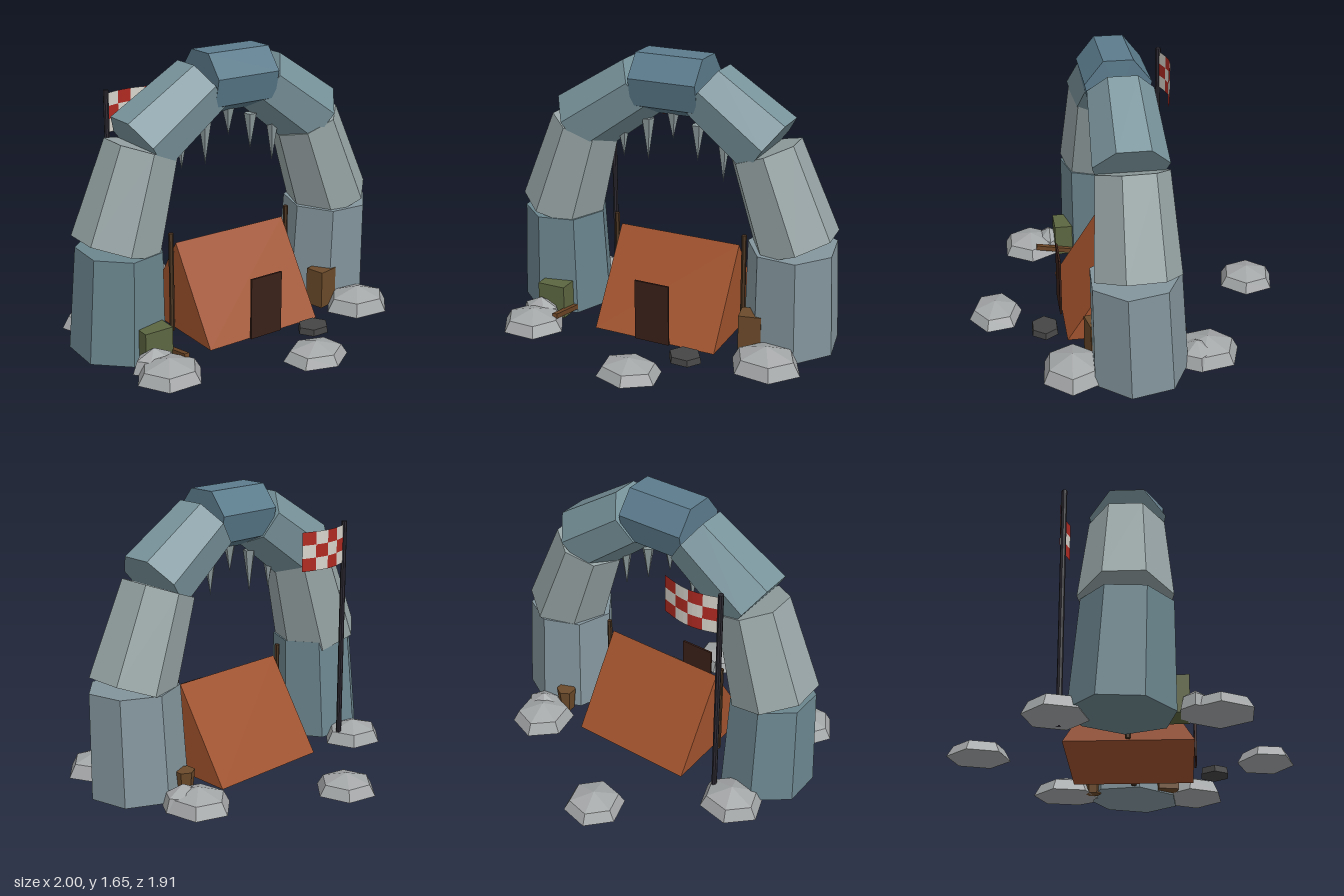
import * as THREE from 'three';

const DEG = Math.PI / 180;

function mat(color, extra = {}) {
  return new THREE.MeshStandardMaterial({ color, flatShading: true, ...extra });
}

function add(parent, name, geometry, material, x = 0, y = 0, z = 0) {
  const mesh = new THREE.Mesh(geometry, material);
  mesh.name = name;
  mesh.position.set(x, y, z);
  parent.add(mesh);
  return mesh;
}

// Seven-sided tapered block; side = -1 or 1 turns a flat face outward
function archStone(parent, name, color, side, [x, y, z], length, rTop, rBottom, tilt, twist = 0, lean = 0) {
  const g = new THREE.CylinderGeometry(rTop, rBottom, length, 7);
  g.rotateY(-side * Math.PI / 2 + twist * DEG);
  g.rotateX(lean * DEG);
  g.rotateZ(side * tilt * DEG);
  add(parent, name, g, mat(color), x, y, z);
}

// Low six-sided boulder with a bevelled rim and a shallow peak
function boulder(parent, x, z, rx, rz, h, turn) {
  const profile = [[0, 0], [1, 0], [0.8, 0.58], [0, 1]].map(([r, y]) => new THREE.Vector2(r, y));
  const g = new THREE.LatheGeometry(profile, 6);
  g.rotateY(turn);
  g.scale(rx, h, rz);
  add(parent, 'boulder', g, mat(0xa4a7a8), x, 0, z);
}

function buildArch() {
  const arch = new THREE.Group();
  arch.name = 'stoneArch';
  archStone(arch, 'rightPillar', 0x6b858e, -1, [-0.74, 0.305, 0.05], 0.61, 0.25, 0.28, 1, 0, 2.5);
  archStone(arch, 'leftPillar', 0x83959c, 1, [0.735, 0.305, 0.05], 0.61, 0.26, 0.28, 0, 9.5, 2.5);
  archStone(arch, 'rightUpperStone', 0x96a3a4, -1, [-0.665, 0.882, 0.055], 0.565, 0.212, 0.258, 18);
  archStone(arch, 'leftUpperStone', 0x96a3a4, 1, [0.655, 0.875, 0.055], 0.565, 0.212, 0.25, 21, 5);
  archStone(arch, 'rightShoulderStone', 0x78939b, -1, [-0.4, 1.3, 0.06], 0.5, 0.19, 0.215, 56);
  archStone(arch, 'leftShoulderStone', 0x78939b, 1, [0.39, 1.303, 0.06], 0.475, 0.19, 0.215, 54);
  archStone(arch, 'keystone', 0x5b7b8c, -1, [0.003, 1.465, 0.07], 0.41, 0.19, 0.19, 90);

  // Hanging spikes: x, top y, tip y
  for (const [x, top, tip] of [[-0.33, 1.18, 0.98], [-0.17, 1.235, 0.98], [-0.01, 1.3, 1.13],
    [0.145, 1.235, 1.02], [0.305, 1.17, 0.92]]) {
    const g = new THREE.ConeGeometry(0.038, top - tip, 5);
    g.rotateX(Math.PI);
    add(arch, 'spike', g, mat(0x8d9a9c), x, (top + tip) / 2, 0.07);
  }
  return arch;
}

function buildTent() {
  const tent = new THREE.Group();
  tent.name = 'tent';
  const gable = new THREE.Shape([[-0.35, 0], [0.35, 0], [0, 0.54]].map(p => new THREE.Vector2(...p)));
  const g = new THREE.ExtrudeGeometry(gable, { depth: 0.765, bevelEnabled: false });
  g.rotateY(Math.PI / 2);
  add(tent, 'canvas', g, mat(0xa0522d), -0.363, 0, 0.05);
  add(tent, 'door', new THREE.BoxGeometry(0.215, 0.37, 0.012), mat(0x3a2018), 0.017, 0.185, 0.41);
  for (const x of [-0.395, 0.432]) {
    add(tent, 'tentPost', new THREE.CylinderGeometry(0.015, 0.015, 0.605, 6), mat(0x4a3422), x, 0.3025, 0.05);
  }
  return tent;
}

function buildFlag() {
  const flag = new THREE.Group();
  flag.name = 'flag';
  add(flag, 'flagPole', new THREE.CylinderGeometry(0.016, 0.016, 1.4, 8), mat(0x2d2a32), -0.595, 0.7, -0.295);

  // Chequered cloth, each patch bent along one shallow wave
  const cols = 4, rows = 3, w = 0.35, h = 0.23;
  for (let c = 0; c < cols; c++) {
    for (let r = 0; r < rows; r++) {
      const g = new THREE.PlaneGeometry(w / cols, h / rows, 3, 1);
      g.translate((c + 0.5) * w / cols, (r + 0.5) * h / rows, 0);
      const p = g.attributes.position;
      for (let i = 0; i < p.count; i++) {
        p.setZ(i, -0.035 * Math.sin(p.getX(i) / w * Math.PI * 1.05));
      }
      g.computeVertexNormals();
      const color = (c + r) % 2 ? 0xb02a22 : 0xd8d4cc;
      add(flag, 'flagPatch', g, mat(color, { side: THREE.DoubleSide }), -0.588, 1.15, -0.297);
    }
  }
  return flag;
}

function buildGround() {
  const ground = new THREE.Group();
  ground.name = 'campGround';
  // Boulders: x, z, half width, half depth, height, turn
  for (const b of [
    [-0.095, -0.785, 0.178, 0.178, 0.105, 0.3], [0.07, 0.8, 0.195, 0.16, 0.1, 0.15],
    [-0.72, -0.3, 0.195, 0.175, 0.12, 0.3], [0.65, -0.37, 0.185, 0.195, 0.12, 0.2],
    [0.72, 0.405, 0.212, 0.185, 0.13, 0.4], [-0.715, 0.525, 0.197, 0.188, 0.11, 0.5],
    [-0.735, 0.4, 0.135, 0.085, 0.125, 0.5], [0.7, -0.3, 0.13, 0.11, 0.13, 0.6],
  ]) boulder(ground, ...b);

  add(ground, 'firePit', new THREE.CylinderGeometry(0.095, 0.102, 0.038, 6).rotateY(0.5),
    mat(0x454545), 0.28, 0.019, 0.522).scale.z = 0.85;
  add(ground, 'supplyBox', new THREE.BoxGeometry(0.175, 0.2, 0.15), mat(0x5c6640), -0.682, 0.1, 0.298);
  add(ground, 'plank', new THREE.BoxGeometry(0.03, 0.03, 0.25), mat(0x6b4526), -0.585, 0.05, 0.375).rotation.x = -0.18;
  add(ground, 'crate', new THREE.BoxGeometry(0.13, 0.23, 0.12), mat(0x6b4a2a), 0.565, 0.115, 0.245).rotation.y = 0.2;
  add(ground, 'bucket', new THREE.CylinderGeometry(0.06, 0.045, 0.15, 6), mat(0x6b4a2a), 0.6, 0.075, -0.2);
  return ground;
}

export function createModel() {
  const model = new THREE.Group();
  model.name = 'campArch';
  model.add(buildArch(), buildTent(), buildFlag(), buildGround());
  return model;
}
